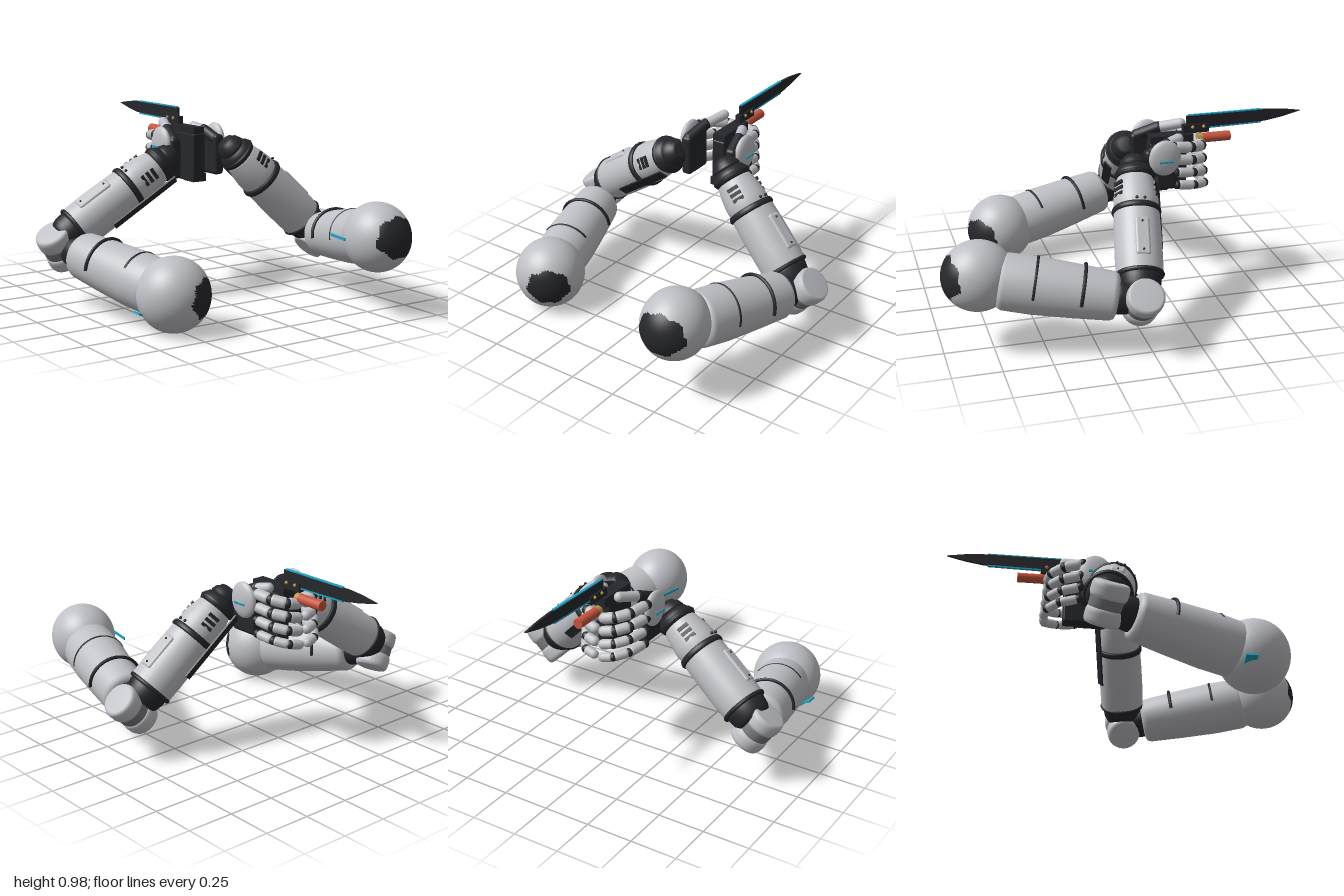
import * as THREE from 'three';
import { RoundedBoxGeometry } from 'three/addons/geometries/RoundedBoxGeometry.js';

const mat = (name, color, extra = {}) => Object.assign(new THREE.MeshStandardMaterial({ color, ...extra }), { name });
const V = (p) => new THREE.Vector3(...p);

export function createModel() {
  const shell = mat('shellGrey', 0xbfc0c5);
  const dark = mat('charcoal', 0x26272c);
  const grey = mat('midGrey', 0x77787d);
  const cyan = mat('cyan', 0x1fa3c4);
  const red = mat('red', 0xc8553f);
  const gold = mat('gold', 0xb8924a);
  const model = new THREE.Group();
  model.name = 'armsWithKnife';

  function add(parent, name, geo, material, pos = [0, 0, 0]) {
    const m = new THREE.Mesh(geo, material);
    m.name = name;
    m.position.set(...pos);
    parent.add(m);
    return m;
  }
  // Group at a with local y along b - a and local z leaning towards ref
  function limb(name, a, b, ref) {
    const g = new THREE.Group();
    g.name = name;
    const y = V(b).sub(V(a)).normalize();
    const x = new THREE.Vector3().crossVectors(y, V(ref)).normalize();
    const z = new THREE.Vector3().crossVectors(x, y);
    g.quaternion.setFromRotationMatrix(new THREE.Matrix4().makeBasis(x, y, z));
    g.position.set(...a);
    g.userData.length = V(a).distanceTo(V(b));
    model.add(g);
    return g;
  }
  const lathe = (pts) => new THREE.LatheGeometry(pts.map((p) => new THREE.Vector2(...p)), 40);
  // Closed round sleeve with small bevels, from y0 to y1
  const sleeve = (r0, y0, r1, y1, b = 0.015) => {
    const rm = Math.max(r0, r1), curve = rm + 0.004;
    return lathe([[0, y0], [r0 - b, y0], [r0 - b * 0.3, y0 + b * 0.3], [r0, y0 + b],
      [(r0 + curve) / 2, y0 + (y1 - y0) * 0.3], [(r1 + curve) / 2, y0 + (y1 - y0) * 0.65],
      [r1, y1 - b], [r1 - b * 0.3, y1 - b * 0.3], [r1 - b, y1], [0, y1]]);
  };
  // Band around local y, its arc centred on local z
  const band = (r, tube, arc = Math.PI * 2) => {
    const t = new THREE.TorusGeometry(r, tube, 8, 48, arc);
    return t.rotateZ((Math.PI - arc) / 2).rotateX(Math.PI / 2);
  };
  function capsule(parent, name, a, b, r, material) {
    const m = add(parent, name, new THREE.CapsuleGeometry(r, V(a).distanceTo(V(b)), 5, 14), material);
    m.position.copy(V(a).add(V(b)).multiplyScalar(0.5));
    m.quaternion.setFromUnitVectors(new THREE.Vector3(0, 1, 0), V(b).sub(V(a)).normalize());
    return m;
  }

  // Shoulder ball whose faces inside a cone are charcoal
  function shoulder(name, pos, size, dir, wide, high) {
    const geo = new THREE.SphereGeometry(1, 72, 54);
    const idx = geo.index.array, p = geo.attributes.position;
    const z = V(dir).normalize();
    const x = new THREE.Vector3(0, 1, 0).cross(z).normalize();
    const y = new THREE.Vector3().crossVectors(z, x);
    const plain = [], patch = [];
    for (let i = 0; i < idx.length; i += 3) {
      const c = new THREE.Vector3();
      for (let k = 0; k < 3; k++) c.add(new THREE.Vector3().fromBufferAttribute(p, idx[i + k]));
      c.normalize();
      const ang = Math.acos(Math.min(1, Math.max(-1, c.dot(z))));
      const az = Math.atan2(c.dot(y), c.dot(x));
      const inside = ang * Math.hypot(Math.cos(az) / wide, Math.sin(az) / high) + 0.06 * Math.sin(az * 7) < 1;
      (inside ? patch : plain).push(idx[i], idx[i + 1], idx[i + 2]);
    }
    geo.setIndex([...plain, ...patch]);
    geo.addGroup(0, plain.length, 0);
    geo.addGroup(plain.length, patch.length, 1);
    add(model, name, geo, [shell, dark], pos).scale.set(...size);
  }
  shoulder('leftShoulder', [0.495, 0.412, 0.815], [0.168, 0.178, 0.182], [0.08, 0.13, 0.98], 0.85, 0.62);
  shoulder('rightShoulder', [-0.53, 0.197, 0.525], [0.183, 0.187, 0.182], [0.58, -0.02, 0.8], 0.66, 0.55);

  // Upper arms with raised dark bands
  function upperArm(name, a, b, bands) {
    const g = limb(name, a, b, [0, 1, 0]), L = g.userData.length;
    add(g, 'upperSleeve', sleeve(0.142, 0, 0.122, L, 0.03), shell);
    add(g, 'elbowSocket', sleeve(0.085, L - 0.02, 0.075, L + 0.09), dark);
    for (const [t, arc] of bands) add(g, 'armBand', band(0.138, 0.009, arc), dark, [0, L * t, 0]);
  }
  upperArm('leftUpperArm', [0.53, 0.39, 0.72], [0.675, 0.3, 0.16], [[0.3, 3.3], [0.7, 3.3]]);
  upperArm('rightUpperArm', [-0.555, 0.21, 0.44], [-0.69, 0.3, -0.1], [[0.25, 1.9], [0.68, 3.2]]);

  // Elbow drums
  function elbow(name, a, b) {
    const g = limb(name, a, b, [0, 0, 1]), L = g.userData.length;
    add(g, 'drumLower', sleeve(0.088, 0, 0.09, L * 0.4), shell);
    add(g, 'drumCore', sleeve(0.084, L * 0.3, 0.084, L * 0.75), grey);
    add(g, 'drumUpper', sleeve(0.092, L * 0.6, 0.092, L), shell);
  }
  elbow('leftElbow', [0.65, 0.2, 0.05], [0.812, 0.358, 0.05]);
  elbow('rightElbow', [-0.69, 0.235, -0.25], [-0.805, 0.41, -0.21]);

  // Forearms: sleeves, rings, vents, access panel and side rail
  function forearm(name, a, b, ref, railSide) {
    const g = limb(name, a, b, ref), L = g.userData.length;
    add(g, 'elbowCollar', sleeve(0.095, 0.02, 0.105, L * 0.17), dark);
    add(g, 'rearSleeve', sleeve(0.118, L * 0.14, 0.116, L * 0.62), shell);
    add(g, 'rearRing', band(0.112, 0.012), dark, [0, L * 0.15, 0]);
    add(g, 'middleRing', sleeve(0.123, L * 0.6, 0.121, L * 0.645, 0.006), dark);
    add(g, 'frontSleeve', sleeve(0.112, L * 0.63, 0.094, L * 0.88), shell);
    add(g, 'wristCuff', sleeve(0.1, L * 0.865, 0.086, L * 0.96), dark);
    add(g, 'wristRing', band(0.092, 0.012), dark, [0, L * 0.9, 0]);
    add(g, 'wristJoint', sleeve(0.075, L * 0.94, 0.055, L * 1.05, 0.02), dark);
    add(g, 'panel', new RoundedBoxGeometry(0.075, 0.2, 0.03, 4, 0.014), shell, [0, L * 0.38, 0.11]);
    for (const s of [-1, 1]) {
      add(g, 'panelScrew', new THREE.SphereGeometry(0.006, 10, 8), dark, [0, L * 0.38 + s * 0.075, 0.126]);
      add(g, 'ringScrew', new THREE.SphereGeometry(0.008, 10, 8), dark, [s * 0.02, L * 0.66, 0.12]);
      const side = new THREE.Group();
      side.name = 'vents';
      side.rotation.y = s * 1.1;
      g.add(side);
      for (let i = 0; i < 3; i++)
        add(side, 'vent', new THREE.BoxGeometry(0.062, 0.018, 0.009), dark, [0, L * (0.72 + i * 0.042), 0.108]);
    }
    const rail = new THREE.Group();
    rail.name = 'rail';
    rail.rotation.y = railSide * 1.95;
    g.add(rail);
    add(rail, 'railStrip', new THREE.BoxGeometry(0.05, L * 0.55, 0.009), dark, [0, L * 0.64, 0.128]);
  }
  // In the left arm local x points to -z, in the right arm to +z or -z by its own basis
  forearm('leftForearm', [0.7, 0.3, 0.05], [0.19, 0.8, -0.055], [1, 1, 0], 1);
  forearm('rightForearm', [-0.75, 0.35, -0.23], [-0.15, 0.765, -0.105], [-0.5, 0.8, 0.25], 1);

  // Hands wrapped around the grip
  function hand(name, s, cx, path, thumb) {
    const g = new THREE.Group();
    g.name = name;
    model.add(g);
    add(g, 'palm', new RoundedBoxGeometry(0.06, 0.22, 0.17, 4, 0.02), dark, [cx, 0.745, -0.2]);
    const back = add(g, 'handBack', new THREE.SphereGeometry(1, 28, 20), shell, [cx + s * 0.035, 0.815, -0.215]);
    back.scale.set(0.032, 0.095, 0.085);
    for (let i = 0; i < 3; i++)
      add(g, 'handLight', new THREE.BoxGeometry(0.008, 0.01, 0.022), cyan, [cx + s * 0.066, 0.802, -0.19 - i * 0.026]);
    for (let row = 0; row < 4; row++) {
      const y = 0.86 - row * 0.07, r = 0.029 - row * 0.0015;
      const pts = path.map(([x, z], i) => [x, y - i * 0.014, z - row * 0.007]);
      for (let i = 0; i < pts.length - 1; i++) {
        const p = V(pts[i]), q = V(pts[i + 1]);
        capsule(g, 'fingerSegment', p.clone().lerp(q, 0.22).toArray(), p.clone().lerp(q, 0.78).toArray(), r, shell);
        add(g, 'knuckle', new THREE.SphereGeometry(r * 0.92, 14, 10), dark, pts[i]);
      }
    }
    capsule(g, 'thumbBase', thumb[0], thumb[1], 0.03, dark);
    capsule(g, 'thumbTip', thumb[1], thumb[2], 0.027, shell);
  }
  hand('leftHand', 1, 0.175, [[0.185, -0.27], [0.17, -0.37], [0.12, -0.44], [0.05, -0.45]],
    [[0.17, 0.83, -0.15], [0.155, 0.87, -0.24], [0.13, 0.885, -0.31]]);
  hand('rightHand', -1, -0.1, [[-0.13, -0.28], [-0.1, -0.38], [-0.045, -0.44], [0.025, -0.455]],
    [[-0.1, 0.84, -0.15], [-0.07, 0.885, -0.26], [-0.025, 0.912, -0.37]]);

  // Knife: grip, guard, blade and glowing edges
  const knife = new THREE.Group();
  knife.name = 'knife';
  model.add(knife);
  add(knife, 'grip', new RoundedBoxGeometry(0.075, 0.26, 0.2, 2, 0.008), dark, [0.075, 0.73, -0.265]);
  add(knife, 'gripTop', new THREE.BoxGeometry(0.07, 0.05, 0.23), dark, [0.075, 0.87, -0.285]);
  add(knife, 'gripFoot', new THREE.BoxGeometry(0.083, 0.045, 0.1), dark, [0.075, 0.622, -0.21]);
  add(knife, 'guard', new THREE.BoxGeometry(0.03, 0.045, 0.14), dark, [0.075, 0.915, -0.42]);
  for (const z of [-0.4, -0.46])
    for (const x of [0.058, 0.092]) add(knife, 'guardScrew', new THREE.SphereGeometry(0.009, 10, 8), gold, [x, 0.925, z]);
  const outline = (pts, depth) => new THREE.ExtrudeGeometry(
    new THREE.Shape(pts.map((p) => new THREE.Vector2(...p))), { depth, bevelEnabled: false }).rotateY(Math.PI / 2);
  add(knife, 'blade', outline([[0.37, 0.915], [0.8, 0.922], [0.9, 0.938], [1, 0.962], [0.9, 0.978], [0.82, 0.985], [0.37, 0.985]], 0.012),
    dark, [0.069, 0, 0]);
  add(knife, 'spineGlow', outline([[0.38, 0.984], [0.78, 0.984], [0.78, 0.99], [0.38, 0.99]], 0.014), cyan, [0.068, 0, 0]);
  add(knife, 'edgeGlow', outline([[0.46, 0.909], [0.78, 0.914], [0.78, 0.922], [0.46, 0.917]], 0.014), cyan, [0.068, 0, 0]);

  // Red cartridge under the blade with a gold collar
  const rod = (r, l) => new THREE.CylinderGeometry(r, r, l, 24).rotateX(Math.PI / 2);
  add(model, 'cartridge', rod(0.026, 0.155), red, [0.052, 0.848, -0.54]);
  add(model, 'cartridgeCollar', rod(0.027, 0.025), gold, [0.052, 0.848, -0.452]);

  // Thin light strips beside the shoulders
  add(model, 'leftShoulderLight', new THREE.BoxGeometry(0.006, 0.014, 0.14), cyan, [0.337, 0.41, 0.7]).rotation.y = -0.18 + Math.PI;
  const light = add(model, 'rightShoulderLight', new THREE.BoxGeometry(0.06, 0.009, 0.06), cyan, [-0.685, 0.11, 0.475]);
  light.rotation.z = -0.4;

  return model;
}
